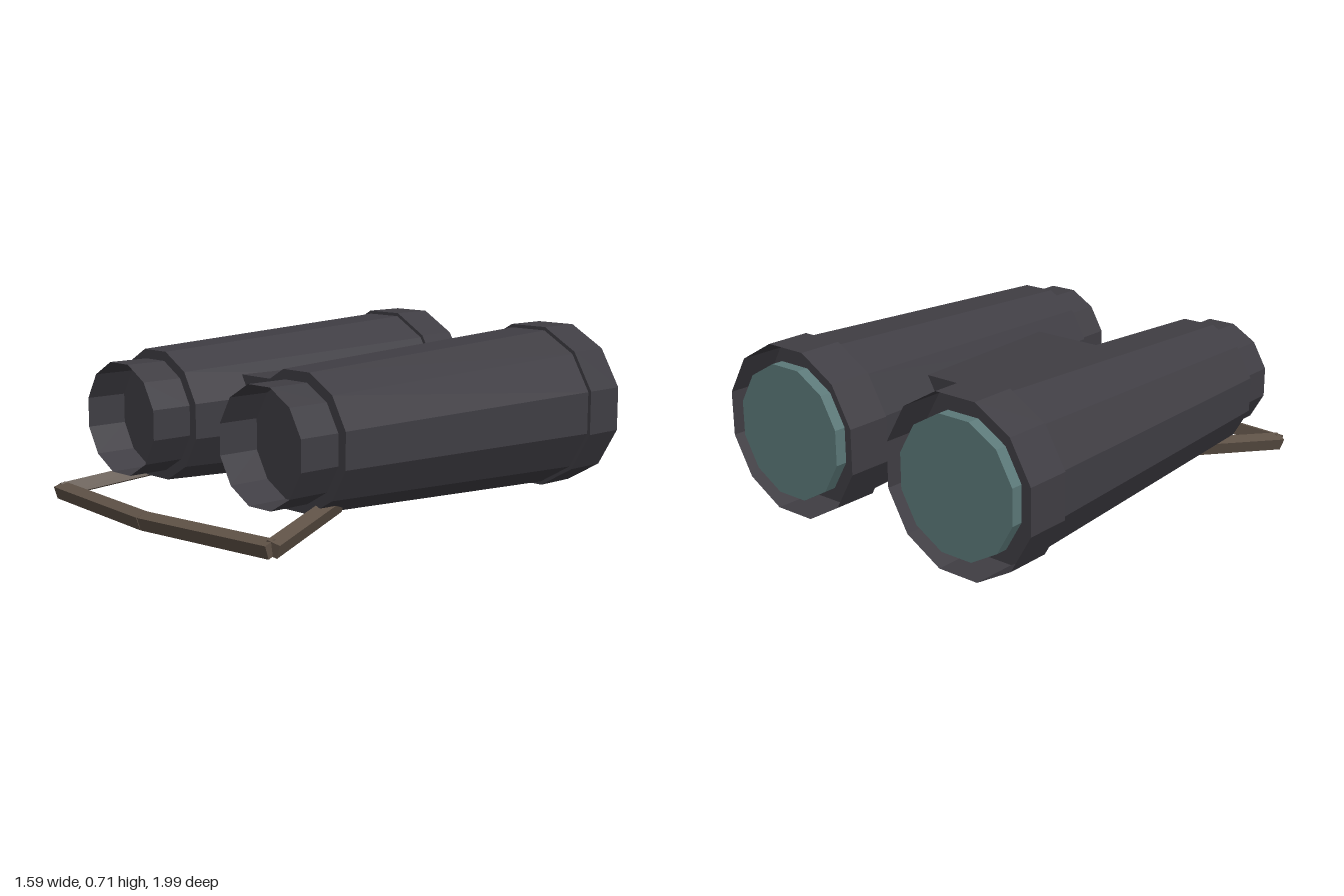
import * as THREE from 'three';

const SIDES = 12;
const TURN = Math.PI / SIDES; // puts a flat facet on top

const bodyMat = new THREE.MeshStandardMaterial({ color: 0x3f3d43, flatShading: true, side: THREE.DoubleSide });
bodyMat.name = 'charcoal body';
const lensMat = new THREE.MeshStandardMaterial({ color: 0x5b7878, flatShading: true });
lensMat.name = 'teal glass';
const strapMat = new THREE.MeshStandardMaterial({ color: 0x5e5146, flatShading: true });
strapMat.name = 'brown strap';

function part(name, geometry, material) {
  const mesh = new THREE.Mesh(geometry, material);
  mesh.name = name;
  return mesh;
}

// Twelve-sided drum along z, from zBack to zFront
function drum(rFront, rBack, zFront, zBack, open) {
  const g = new THREE.CylinderGeometry(rFront, rBack, zFront - zBack, SIDES, 1, open, TURN);
  g.rotateX(Math.PI / 2);
  g.translate(0, 0, (zFront + zBack) / 2);
  return g;
}

function makeBarrel(name) {
  const barrel = new THREE.Group();
  barrel.name = name;
  barrel.add(part('barrelBody', drum(0.282, 0.347, 0.565, -0.8, false), bodyMat));
  // Thin open tubes at both ends
  barrel.add(part('eyepiece', drum(0.241, 0.241, 0.75, 0.565, true), bodyMat));
  const hood = [[0.345, -0.8], [0.362, -0.8], [0.362, -0.992]].map(([r, z]) => new THREE.Vector2(r, z));
  const hoodGeo = new THREE.LatheGeometry(hood, SIDES, TURN);
  hoodGeo.rotateX(Math.PI / 2);
  barrel.add(part('lensHood', hoodGeo, bodyMat));
  barrel.add(part('lens', drum(0.282, 0.282, -0.95, -1, false), lensMat));
  return barrel;
}

// Square strap bar from a to b, rolled about its length
function strapBar(name, a, b, roll) {
  const bar = part(name, new THREE.BoxGeometry(0.055, 0.055, a.distanceTo(b)), strapMat);
  bar.position.copy(a).lerp(b, 0.5);
  bar.lookAt(b);
  bar.rotateZ(roll);
  return bar;
}

export function createModel() {
  const model = new THREE.Group();
  model.name = 'binoculars';

  // Bridge between the barrels
  const bridge = part('bridge', new THREE.BoxGeometry(0.6, 0.26, 0.765), bodyMat);
  bridge.position.set(0, 0.4, -0.098);
  model.add(bridge);

  const strap = new THREE.Group();
  strap.name = 'strap';
  const middle = new THREE.Vector3(0, 0.04, 0.96);
  for (const s of [1, -1]) {
    const side = s > 0 ? 'left' : 'right';
    const barrel = makeBarrel(side + 'Barrel');
    barrel.position.set(s * 0.447, 0.363, 0);
    model.add(barrel);

    const anchor = new THREE.Vector3(s * 0.53, 0.118, 0.43);
    const corner = new THREE.Vector3(s * 0.685, 0.045, 0.895);
    strap.add(strapBar(side + 'StrapSide', anchor, corner, -s * 0.32));
    strap.add(strapBar(side + 'StrapFront', middle, corner, s * 0.32));
  }
  model.add(strap);
  return model;
}
